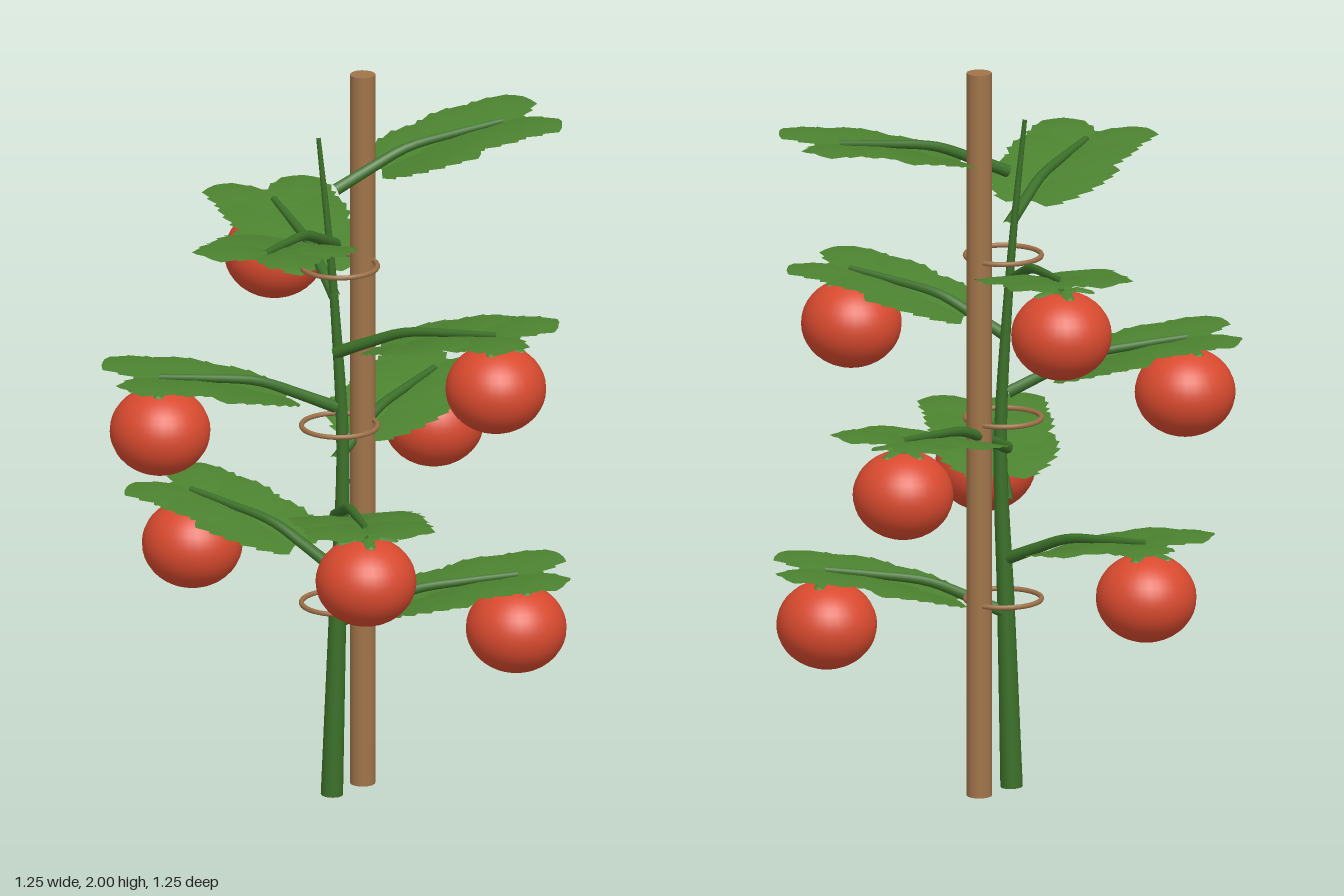
import * as THREE from 'three';

const V = (x, y, z = 0) => new THREE.Vector3(x, y, z);
const mat = (name, color, side = THREE.FrontSide) => {
  const m = new THREE.MeshStandardMaterial({ color, side });
  m.name = name;
  return m;
};

// Tube whose radius shrinks evenly from r0 to r1
function taperedTube(curve, segments, r0, r1, sides = 10) {
  const geo = new THREE.TubeGeometry(curve, segments, 1, sides, false);
  const pos = geo.attributes.position;
  const p = new THREE.Vector3();
  for (let i = 0; i <= segments; i++) {
    const c = curve.getPointAt(i / segments);
    const r = r0 + (r1 - r0) * (i / segments);
    for (let j = 0; j <= sides; j++) {
      const k = i * (sides + 1) + j;
      p.fromBufferAttribute(pos, k).sub(c).multiplyScalar(r).add(c);
      pos.setXYZ(k, p.x, p.y, p.z);
    }
  }
  return geo;
}

// Blunt leaflet along +x with saw teeth on both edges and a slight droop
function leafletGeometry(length, halfWidth, teeth = 6) {
  const rows = [[0, 0.45]];
  for (let i = 0; i < teeth; i++) {
    const t = (i + 0.8) / teeth;
    const w = 0.42 + 0.58 * Math.sin(Math.PI * Math.min(1, 0.1 + t * 0.86));
    rows.push([t, w], [t + 0.06 / teeth, w * 0.86]);
  }
  rows.push([1, 0.25]);
  const verts = [], index = [];
  rows.forEach(([t, w], i) => {
    const y = 0.03 * Math.sin(t * Math.PI * 0.7);
    const h = w * halfWidth;
    verts.push(t * length, y, 0, t * length, y - 0.012 * w, h, t * length, y - 0.012 * w, -h);
    if (i === 0) return;
    const a = (i - 1) * 3, b = i * 3;
    index.push(a, a + 1, b, a + 1, b + 1, b, a, b, a + 2, a + 2, b, b + 2);
  });
  const geo = new THREE.BufferGeometry();
  geo.setAttribute('position', new THREE.Float32BufferAttribute(verts, 3));
  geo.setIndex(index);
  geo.computeVertexNormals();
  return geo;
}

export function createModel() {
  const root = new THREE.Group();
  root.name = 'stakedFruitPlant';
  const stemGreen = mat('stemGreen', 0x3c7029);
  const leafGreen = mat('leafGreen', 0x4c8230, THREE.DoubleSide);
  const fruitRed = mat('fruitRed', 0xd84a2f);
  const wood = mat('stakeWood', 0xa0744a);
  const twine = mat('twine', 0x9c7048);

  const add = (parent, name, geo, material, x = 0, y = 0, z = 0) => {
    const mesh = new THREE.Mesh(geo, material);
    mesh.name = name;
    mesh.position.set(x, y, z);
    parent.add(mesh);
    return mesh;
  };

  // Support stake and tie rings
  add(root, 'stake', new THREE.CylinderGeometry(0.034, 0.034, 2, 16), wood, 0.08, 1, -0.085);
  const ringGeo = new THREE.TorusGeometry(0.102, 0.007, 8, 32).rotateX(Math.PI / 2);
  [0.53, 1.03, 1.48].forEach(y => add(root, 'tieRing', ringGeo, twine, 0.013, y, -0.028));

  // Main stem
  const stemCurve = new THREE.CatmullRomCurve3([
    V(-0.01, 0, 0.005), V(0.005, 0.5, 0.005), V(0.02, 0.95, 0), V(0, 1.35, -0.005),
    V(-0.02, 1.6, -0.005), V(-0.045, 1.85, -0.01)]);
  add(root, 'stem', taperedTube(stemCurve, 40, 0.03, 0.006, 12), stemGreen);
  add(root, 'stemFoot', new THREE.CircleGeometry(0.03, 12).rotateX(Math.PI / 2), stemGreen, -0.01, 0, 0.005);

  // Shared branch parts
  const branchCurve = new THREE.CatmullRomCurve3([
    V(0, 0), V(0.1, 0.045), V(0.21, 0.09), V(0.35, 0.11), V(0.49, 0.125)]);
  const branchGeo = taperedTube(branchCurve, 16, 0.017, 0.009, 8);
  const leafGeo = leafletGeometry(0.27, 0.105);
  const fruitGeo = new THREE.SphereGeometry(0.135, 32, 20).scale(1, 0.89, 1);
  const stalkGeo = taperedTube(new THREE.CatmullRomCurve3([
    V(0.43, 0.118), V(0.475, 0.112), V(0.485, 0.085)]), 6, 0.009, 0.008, 6);
  const sepalGeo = leafletGeometry(0.085, 0.02, 2);

  for (let i = 0; i < 9; i++) {
    // Branches spiral up the stem by the golden angle
    const branch = new THREE.Group();
    branch.name = 'branch';
    branch.position.set(0, 0.48 + i * 0.153, 0);
    branch.rotation.y = THREE.MathUtils.degToRad(i * 137.5);
    root.add(branch);
    add(branch, 'leafStalk', branchGeo, stemGreen);

    // Three pairs of overlapping leaflets
    [[0.13, 0.04, 0.13], [0.245, 0.078, 0.1], [0.365, 0.1, 0.06]].forEach(([x, y, pitch]) => {
      for (const side of [-1, 1]) {
        const leaf = add(branch, 'leaflet', leafGeo, leafGreen, x, y, side * 0.015);
        leaf.rotation.set(0, -side * 0.42, pitch);
      }
    });

    // Fruit hangs from the lower seven branches
    if (i > 6) continue;
    add(branch, 'fruitStalk', stalkGeo, stemGreen);
    add(branch, 'fruit', fruitGeo, fruitRed, 0.485, -0.025, 0);
    for (let k = 0; k < 5; k++) {
      const sepal = add(branch, 'sepal', sepalGeo, leafGreen, 0.485, 0.098, 0);
      sepal.rotation.set(0, k * Math.PI * 0.4, -0.32);
    }
  }
  return root;
}
